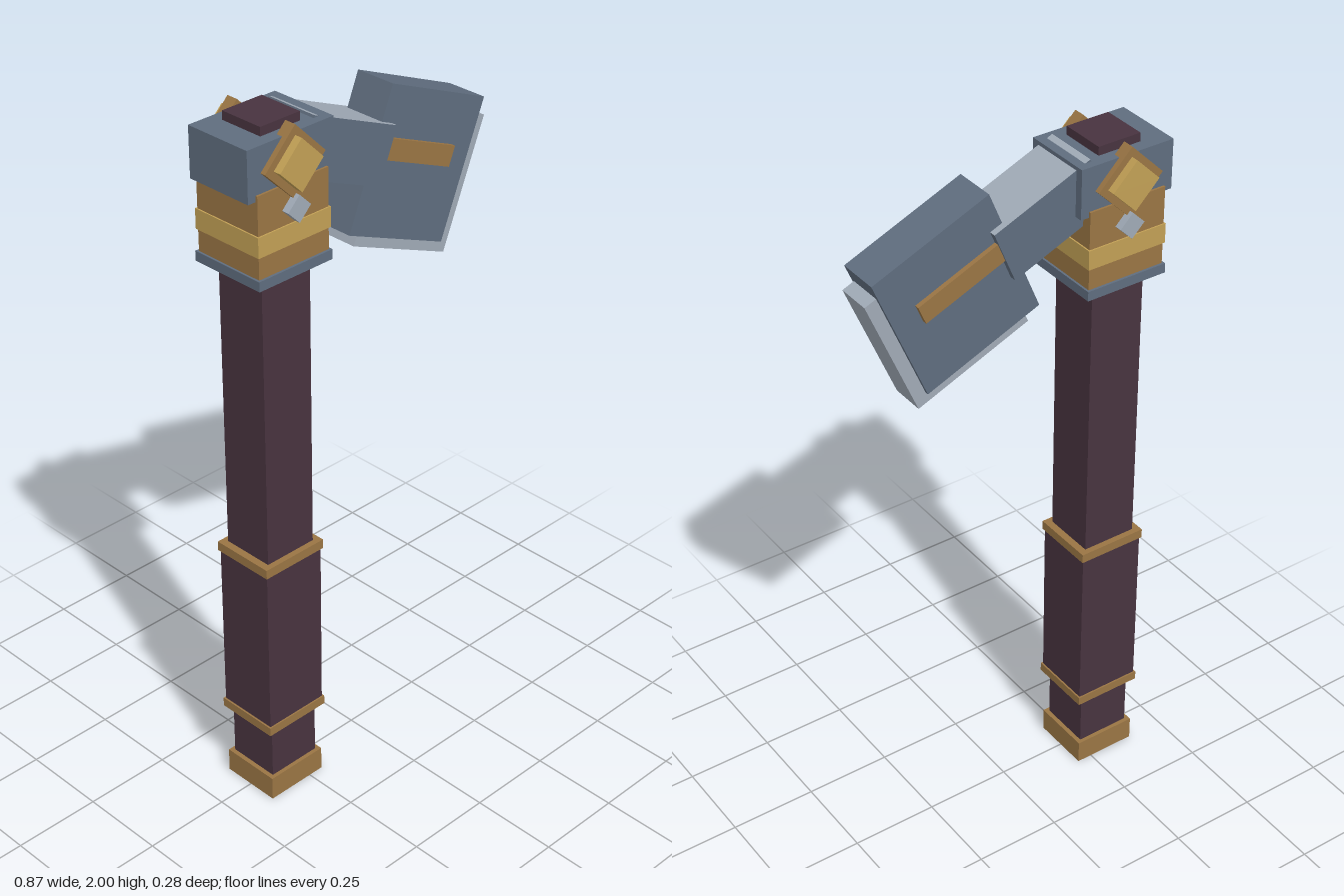
import * as THREE from 'three';

const paint = (name, color) => {
  const m = new THREE.MeshStandardMaterial({ color });
  m.name = name;
  return m;
};

export function createModel() {
  const wood = paint('dark wood', 0x48333f);
  const slate = paint('slate steel', 0x5f6d7e);
  const steel = paint('light steel', 0xa0aab6);
  const bronze = paint('bronze', 0x9a7544);
  const gold = paint('gold', 0xc2a055);

  const model = new THREE.Group();
  model.name = 'hammer';

  const box = (parent, name, material, size, pos) => {
    const mesh = new THREE.Mesh(new THREE.BoxGeometry(...size), material);
    mesh.name = name;
    mesh.position.set(...pos);
    parent.add(mesh);
    return mesh;
  };

  // Upright shaft: square blocks stacked along y
  const shaft = new THREE.Group();
  shaft.name = 'shaft';
  shaft.position.x = -0.298;
  model.add(shaft);
  const block = (name, material, w, d, y0, y1) =>
    box(shaft, name, material, [w, y1 - y0, d], [0, (y0 + y1) / 2, 0]);

  block('pommel', bronze, 0.186, 0.176, 0, 0.07);
  block('handle', wood, 0.16, 0.153, 0.05, 1.62);
  block('grip', wood, 0.192, 0.178, 0.24, 0.76);
  block('lowerGripRing', bronze, 0.202, 0.187, 0.228, 0.254);
  block('upperGripRing', bronze, 0.202, 0.187, 0.747, 0.774);
  block('collarBase', slate, 0.242, 0.228, 1.603, 1.63);
  block('collar', bronze, 0.23, 0.214, 1.63, 1.85);
  block('collarBand', gold, 0.238, 0.222, 1.69, 1.745);
  block('headBlock', slate, 0.278, 0.202, 1.834, 1.972);
  block('shaftTip', wood, 0.127, 0.131, 1.96, 1.996);

  // Diamond ornaments on front and back
  for (const side of [1, -1]) {
    const diamond = (name, material, halfDiagonal, y, z0, z1) => {
      const s = halfDiagonal * Math.SQRT2;
      box(shaft, name, material, [s, s, z1 - z0], [0, y, side * (z0 + z1) / 2])
        .rotation.z = Math.PI / 4;
    };
    diamond('diamondFrame', bronze, 0.0975, 1.902, 0.083, 0.116);
    diamond('diamondGem', gold, 0.07, 1.902, 0.1, 0.138);
    diamond('smallDiamond', steel, 0.037, 1.786, 0.09, 0.128);
  }

  // Tilted striking head with its connecting arm
  const head = new THREE.Group();
  head.name = 'strikingHead';
  head.position.set(0.175, 1.717, 0);
  head.rotation.z = -Math.PI / 8;
  model.add(head);

  // Arm has a light upper face
  box(head, 'arm', [slate, slate, steel, slate, slate, slate],
    [0.304, 0.158, 0.157], [-0.295, 0.019, 0]);
  box(head, 'headPlate', slate, [0.361, 0.39, 0.12], [0, 0, 0]);
  box(head, 'edgePlate', steel, [0.356, 0.372, 0.098], [0.038, -0.039, 0]);
  box(head, 'headInlay', bronze, [0.252, 0.056, 0.147], [-0.02, 0.035, 0]);

  return model;
}
